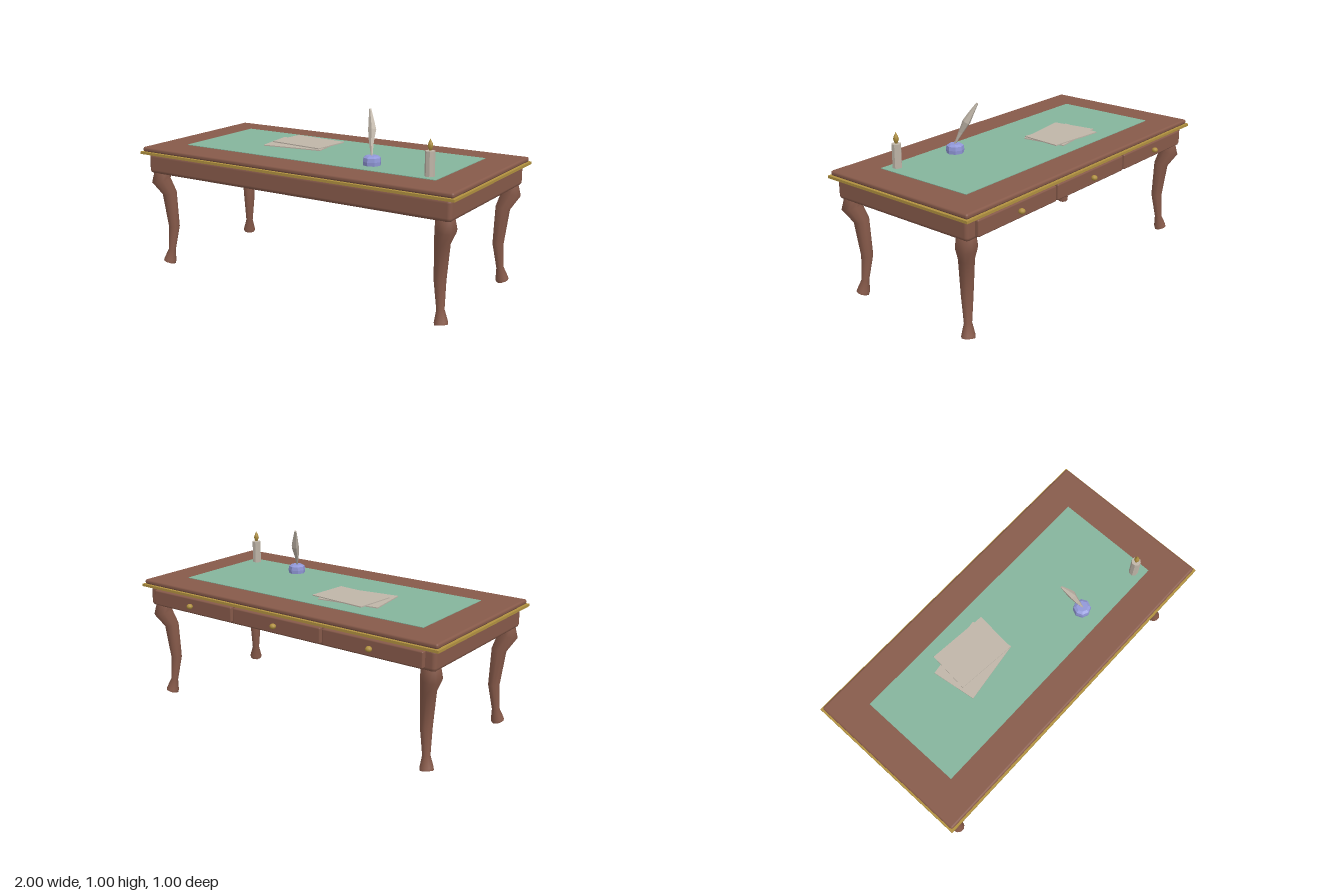
import * as THREE from 'three';
import { RoundedBoxGeometry } from 'three/addons/geometries/RoundedBoxGeometry.js';

const material = (name, color) => {
  const m = new THREE.MeshStandardMaterial({ color });
  m.name = name;
  return m;
};

// Separate the faces so that each one is shaded flat
function faceted(geometry) {
  const g = geometry.index ? geometry.toNonIndexed() : geometry;
  g.computeVertexNormals();
  return g;
}

// Capped tube through the centres, each ring square to the path
function loft(centres, radii, sides) {
  const pos = [], index = [], n = centres.length;
  const ring = (i) => {
    const t = centres[Math.min(i + 1, n - 1)].clone().sub(centres[Math.max(i - 1, 0)]).normalize();
    const u = new THREE.Vector3(1, 0, 0).addScaledVector(t, -t.x).normalize();
    const v = t.clone().cross(u);
    for (let j = 0; j < sides; j++) {
      const a = (j / sides) * Math.PI * 2;
      const p = centres[i].clone()
        .addScaledVector(u, Math.cos(a) * radii[i])
        .addScaledVector(v, Math.sin(a) * radii[i]);
      pos.push(p.x, p.y, p.z);
    }
  };
  for (let i = 0; i < n; i++) ring(i);
  for (let i = 0; i < n - 1; i++) {
    for (let j = 0; j < sides; j++) {
      const a = i * sides + j, b = i * sides + ((j + 1) % sides);
      index.push(a, b, b + sides, a, b + sides, a + sides);
    }
  }
  // End caps with their own vertices
  for (const end of [0, n - 1]) {
    const start = pos.length / 3;
    ring(end);
    const c = start + sides;
    pos.push(...centres[end].toArray());
    for (let j = 0; j < sides; j++) {
      const a = start + j, b = start + ((j + 1) % sides);
      if (end === 0) index.push(c, b, a);
      else index.push(c, a, b);
    }
  }
  const g = new THREE.BufferGeometry();
  g.setAttribute('position', new THREE.Float32BufferAttribute(pos, 3));
  g.setIndex(index);
  g.computeVertexNormals();
  return g;
}

export function createModel() {
  const wood = material('wood', 0x875a4a);
  const gold = material('gold', 0xb0903f);
  const felt = material('felt', 0x84b49c);
  const paper = material('paper', 0xbfb5a8);
  const glass = material('inkGlass', 0x9198d8);

  const model = new THREE.Group();
  model.name = 'writingDesk';
  const add = (name, geometry, mat, x, y, z) => {
    const mesh = new THREE.Mesh(geometry, mat);
    mesh.name = name;
    mesh.position.set(x, y, z);
    model.add(mesh);
    return mesh;
  };
  const MID = 0.011; // desk body centre in z

  // Top, trim, apron and writing surface
  add('tableTop', new RoundedBoxGeometry(1.98, 0.028, 0.956, 2, 0.012), wood, 0, 0.703, MID);
  add('goldTrim', new THREE.BoxGeometry(2, 0.014, 0.976), gold, 0, 0.683, MID);
  add('apron', new RoundedBoxGeometry(1.936, 0.117, 0.912, 2, 0.022), wood, 0, 0.6185, MID);
  add('writingMat', new THREE.BoxGeometry(1.61, 0.006, 0.6), felt, 0, 0.717, 0.008);

  // Three drawers with knobs along the back
  for (const x of [-0.612, 0, 0.612]) {
    add('drawerFront', new RoundedBoxGeometry(0.6, 0.088, 0.04, 1, 0.008), wood, x, 0.62, -0.447);
    const knob = add('drawerKnob', new THREE.SphereGeometry(0.018, 10, 8), gold, x, 0.62, -0.482);
    knob.scale.y = 0.85;
  }

  // Curved legs: height, diagonal offset, radius
  const legProfile = [
    [0.01, 0.012, 0.036], [0.024, 0.009, 0.036], [0.085, 0, 0.021], [0.23, -0.013, 0.032],
    [0.435, 0, 0.042], [0.515, 0.032, 0.056], [0.56, 0.023, 0.05],
  ];
  for (const sx of [1, -1]) {
    for (const sz of [1, -1]) {
      const path = legProfile.map(([y, d]) =>
        new THREE.Vector3(sx * (0.89 + d), y, sz * (0.376 + d)));
      add(sz > 0 ? 'frontLeg' : 'backLeg', loft(path, legProfile.map((p) => p[2]), 10),
        wood, 0, 0, MID);
    }
  }

  // Two sheets of paper
  add('lowerSheet', new THREE.BoxGeometry(0.36, 0.006, 0.255), paper, -0.25, 0.723, -0.056)
    .rotation.y = 0.14;
  add('upperSheet', new THREE.BoxGeometry(0.345, 0.006, 0.238), paper, -0.223, 0.732, -0.088)
    .rotation.y = -0.09;

  // Inkwell
  const wellProfile = [[0, 0], [0.048, 0], [0.05, 0.022], [0.047, 0.043], [0.032, 0.052], [0, 0.052]]
    .map(([r, y]) => new THREE.Vector2(r, y));
  add('inkwell', faceted(new THREE.LatheGeometry(wellProfile, 8)), glass, 0.37, 0.718, 0.187);

  // Quill
  const quillPath = [
    [0.37, 0.765, 0.19], [0.35, 0.835, 0.16], [0.337, 0.895, 0.13],
    [0.318, 0.945, 0.109], [0.296, 0.998, 0.085],
  ].map((p) => new THREE.Vector3(...p));
  add('quill', faceted(loft(quillPath, [0.004, 0.014, 0.023, 0.015, 0.006], 5)), paper, 0, 0, 0);

  // Candle and flame
  add('candle', faceted(new THREE.CylinderGeometry(0.026, 0.026, 0.132, 8).rotateY(Math.PI / 8)),
    paper, 0.742, 0.784, 0.25);
  const flameProfile = [[0, 0], [0.007, 0.002], [0.015, 0.024], [0.011, 0.04], [0, 0.062]]
    .map(([r, y]) => new THREE.Vector2(r, y));
  add('flame', new THREE.LatheGeometry(flameProfile, 8), gold, 0.742, 0.85, 0.25);

  return model;
}
